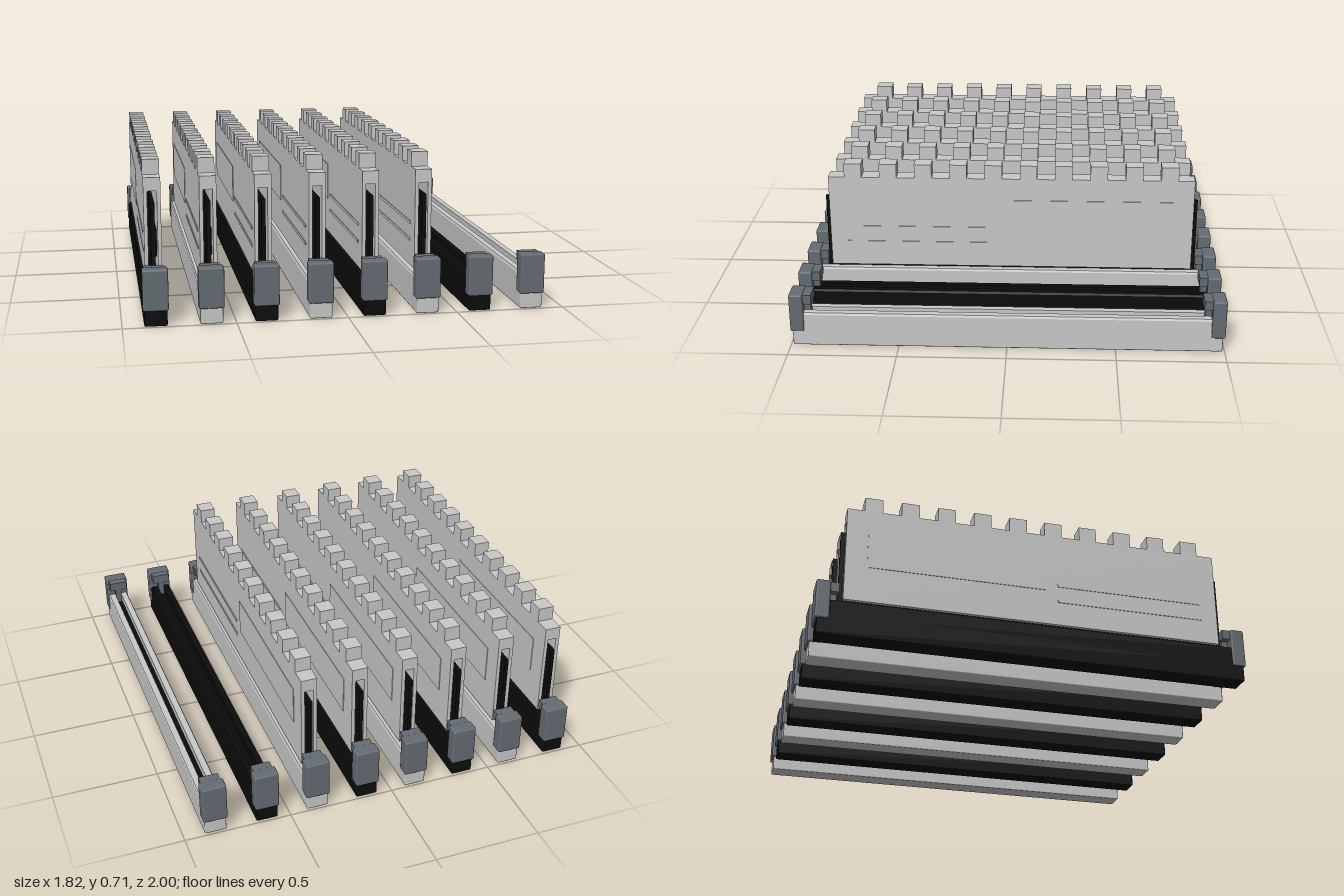
import * as THREE from 'three';
import { RoundedBoxGeometry } from 'three/addons/geometries/RoundedBoxGeometry.js';

const material = (name, color) => {
  const m = new THREE.MeshStandardMaterial({ color });
  m.name = name;
  return m;
};

export function createModel() {
  const light = material('lightGrey', 0xc8c8c8);
  const black = material('black', 0x0c0c0c);
  const slate = material('slateGrey', 0x646c72);

  const add = (parent, name, geometry, mat, x = 0, y = 0, z = 0) => {
    const mesh = new THREE.Mesh(geometry, mat);
    mesh.name = name;
    mesh.position.set(x, y, z);
    parent.add(mesh);
    return mesh;
  };

  // Extrudes an x/y outline along z, centred on z = 0
  const extrudeAlong = (points, length) => {
    const shape = new THREE.Shape(points.map(([x, y]) => new THREE.Vector2(x, y)));
    const g = new THREE.ExtrudeGeometry(shape, { depth: length, bevelEnabled: false });
    return g.translate(0, 0, -length / 2);
  };

  // Shared geometries
  const channel = extrudeAlong([
    [-0.051, 0.08], [0.051, 0.08], [0.051, 0.155], [0.046, 0.165], [0.016, 0.165],
    [0.016, 0.12], [-0.016, 0.12], [-0.016, 0.165], [-0.046, 0.165], [-0.051, 0.155],
  ], 1.87);
  const foot = new RoundedBoxGeometry(0.102, 0.1, 1.98, 1, 0.006);
  const contact = new THREE.BoxGeometry(0.031, 0.008, 1.82);
  const latchHead = new RoundedBoxGeometry(0.113, 0.185, 0.064, 2, 0.008);
  const latchHook = new THREE.BoxGeometry(0.09, 0.045, 0.045);
  const latchStem = new THREE.BoxGeometry(0.03, 0.12, 0.04);
  const board = new THREE.BoxGeometry(0.018, 0.41, 1.8);
  const chip = new THREE.BoxGeometry(0.011, 0.12, 0.16);
  const cover = extrudeAlong([
    [-0.038, 0.18], [-0.021, 0.18], [-0.021, 0.58], [0.021, 0.58],
    [0.021, 0.18], [0.038, 0.18], [0.038, 0.64], [-0.038, 0.64],
  ], 1.76);
  const tooth = new THREE.BoxGeometry(0.076, 0.07, 0.083);
  const panel = new THREE.BoxGeometry(0.004, 0.18, 0.82);
  const rib = new THREE.BoxGeometry(0.004, 0.014, 0.7);

  // Socket with a grooved body and a latch at each end
  const makeSocket = (bodyMat) => {
    const socket = new THREE.Group();
    socket.name = 'socket';
    add(socket, 'socketFoot', foot, bodyMat, 0, 0.05);
    add(socket, 'socketBody', channel, bodyMat);
    add(socket, 'contactStrip', contact, black, 0, 0.124);
    for (const s of [1, -1]) {
      add(socket, 'latchHead', latchHead, slate, 0, 0.163, s * 0.968);
      add(socket, 'latchHook', latchHook, slate, 0, 0.23, s * 0.92);
      add(socket, 'latchStem', latchStem, slate, 0, 0.17, s * 0.925);
    }
    return socket;
  };

  // Circuit board inside a hollow, toothed heat spreader
  const makeStick = () => {
    const stick = new THREE.Group();
    stick.name = 'memoryStick';
    add(stick, 'circuitBoard', board, black, 0, 0.325);
    add(stick, 'heatSpreader', cover, light);
    for (let i = 0; i < 10; i++) {
      add(stick, 'coolingTooth', tooth, light, 0, 0.673, (i - 4.5) * 0.169);
    }
    for (const s of [1, -1]) {
      for (let i = 0; i < 8; i++) {
        add(stick, 'chip', chip, black, s * 0.0145, 0.33, (i - 3.5) * 0.21);
      }
      add(stick, 'raisedPanel', panel, light, s * 0.039, 0.44, -0.37);
      for (const y of [0.3, 0.38]) add(stick, 'rib', rib, light, s * 0.039, y, 0.45);
    }
    return stick;
  };

  // Eight sockets in alternating colours, the first six filled
  const model = new THREE.Group();
  model.name = 'memoryBank';
  for (let i = 0; i < 8; i++) {
    const slot = new THREE.Group();
    slot.name = 'slot' + (i + 1);
    slot.position.x = (i - 3.5) * 0.2437;
    slot.add(makeSocket(i % 2 ? light : black));
    if (i < 6) slot.add(makeStick());
    model.add(slot);
  }
  return model;
}
